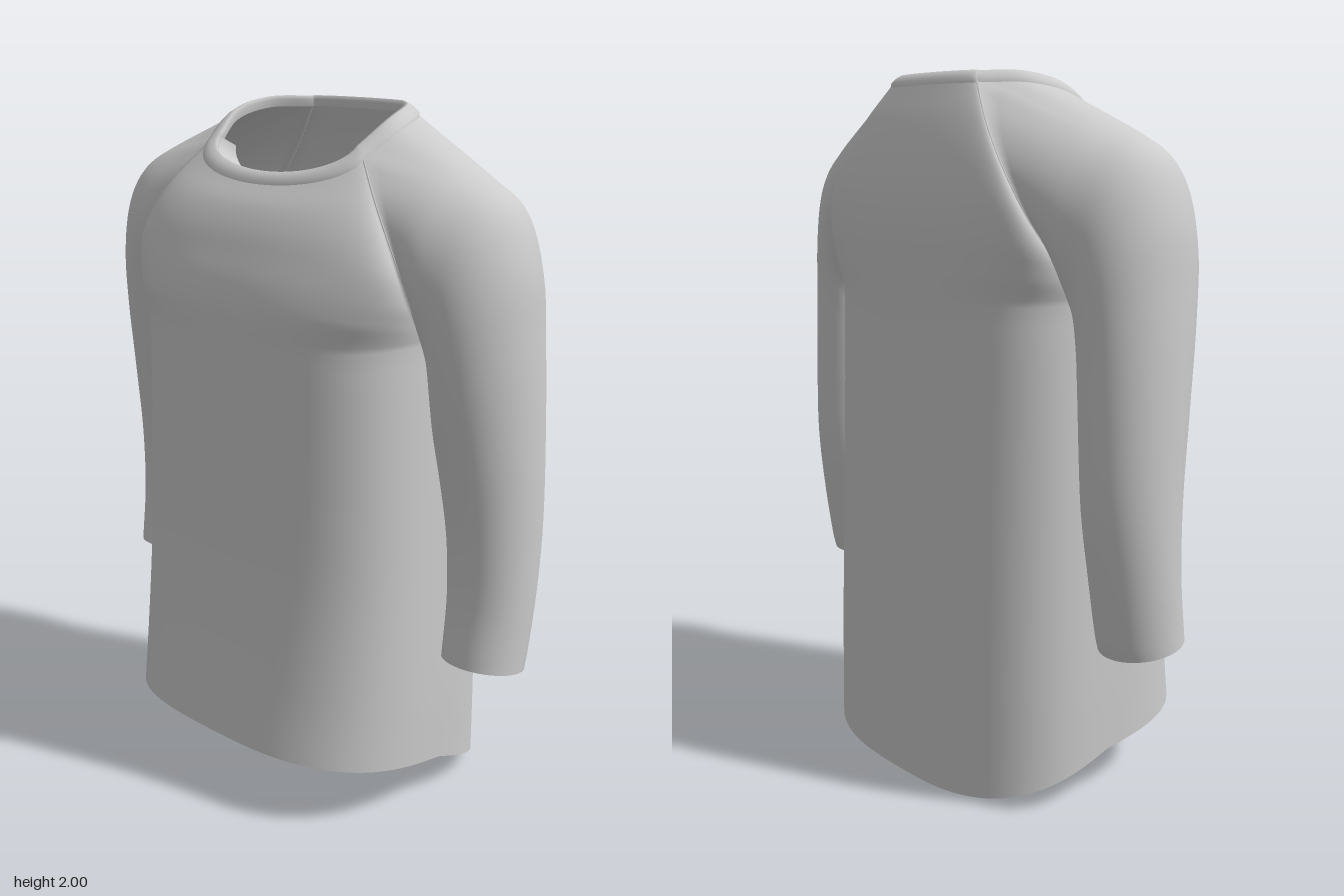
import * as THREE from 'three';

const V = (x, y, z) => new THREE.Vector3(x, y, z);
const curve = pts => new THREE.CatmullRomCurve3(pts.map(p => V(...p)));
const material = new THREE.MeshStandardMaterial({ color: 0xcccccc, side: THREE.DoubleSide });

const ROWS = 50, ARMPIT = 20, COLS = 48, ARC = 16;

// Side seam shared by both panels, hem to armpit
const sideSeam = curve([[.522, .14, -.04], [.522, .35, -.04], [.515, .7, -.04], [.505, 1.1, -.04], [.495, 1.4, -.04]]);

// Panels: raglan seam from armpit to neck, and centre line from hem to neck
const front = {
  seam: curve([[.495, 1.4, -.04], [.5, 1.45, .05], [.505, 1.51, .11], [.495, 1.59, .148], [.455, 1.68, .155], [.39, 1.775, .135], [.305, 1.87, .085]]),
  middle: curve([[0, .205, .4], [0, .4, .372], [0, .7, .342], [0, 1.1, .33], [0, 1.38, .33], [0, 1.47, .328], [0, 1.54, .313], [0, 1.61, .288], [0, 1.68, .26], [0, 1.74, .225], [0, 1.79, .18]]),
};
const back = {
  seam: curve([[.495, 1.4, -.04], [.495, 1.45, -.13], [.485, 1.53, -.22], [.445, 1.63, -.28], [.38, 1.74, -.3], [.29, 1.86, -.285], [.2, 1.968, -.245]]),
  middle: curve([[0, .005, -.4], [0, .3, -.394], [0, .7, -.383], [0, 1.1, -.372], [0, 1.38, -.372], [0, 1.47, -.375], [0, 1.57, -.377], [0, 1.67, -.368], [0, 1.77, -.345], [0, 1.87, -.31], [0, 1.97, -.265]]),
};
const shoulderNeck = curve([[.305, 1.87, .085], [.332, 1.935, -.02], [.3, 1.965, -.14], [.2, 1.968, -.245]]);

// Surface from a rule giving a point for each row and column
function grid(name, rows, cols, point, flip = false) {
  const pos = [], index = [];
  for (let i = 0; i <= rows; i++)
    for (let j = 0; j <= cols; j++) pos.push(...point(i, j).toArray());
  for (let i = 0; i < rows; i++)
    for (let j = 0; j < cols; j++) {
      const a = i * (cols + 1) + j, b = a + 1, c = a + cols + 1, d = c + 1;
      index.push(...(flip ? [a, c, b, b, c, d] : [a, b, c, b, d, c]));
    }
  const g = new THREE.BufferGeometry();
  g.setAttribute('position', new THREE.Float32BufferAttribute(pos, 3));
  g.setIndex(index);
  g.computeVertexNormals();
  const mesh = new THREE.Mesh(g, material);
  mesh.name = name;
  return mesh;
}

// Share normals where neighbouring pieces meet
function blendNormals(meshes) {
  const sums = new Map(), p = V(), n = V();
  const visit = fn => meshes.forEach(({ geometry: { attributes: a } }) => {
    for (let i = 0; i < a.position.count; i++) {
      p.fromBufferAttribute(a.position, i);
      fn(p.toArray().map(c => Math.round(c * 1e4) + 0).join(), a.normal, i);
    }
  });
  visit((key, normal, i) => {
    if (!sums.has(key)) sums.set(key, V());
    sums.get(key).add(n.fromBufferAttribute(normal, i));
  });
  visit((key, normal, i) => {
    n.copy(sums.get(key)).normalize();
    normal.setXYZ(i, n.x, n.y, n.z);
  });
}

// Point on a body panel: squarish at the hem, round at the neck
function panelPoint(panel, i, j) {
  const t = i / ROWS, a = (j / COLS - .5) * Math.PI;
  const edge = i <= ARMPIT ? sideSeam.getPoint(i / ARMPIT) : panel.seam.getPoint((i - ARMPIT) / (ROWS - ARMPIT));
  const mid = panel.middle.getPoint(t);
  const power = .7 + .3 * Math.max(0, (t - .5) / .5);
  const s = Math.sign(a) * Math.abs(Math.sin(a)) ** power;
  const c = Math.max(0, Math.cos(a)) ** power;
  return V(edge.x * s, edge.y + (mid.y - edge.y) * c, edge.z + (mid.z - edge.z) * c);
}

// Sleeve rings: inner x, y, outer x, y, front z, back z
const sleeveRings = [
  [.515, 1.36, .56, 1.845, .16, -.272],
  [.515, 1.28, .675, 1.78, .145, -.25],
  [.507, 1.2, .74, 1.63, .13, -.238],
  [.505, 1.12, .763, 1.42, .11, -.232],
  [.513, 1.0, .775, 1.16, .078, -.23],
  [.525, .85, .78, .9, .05, -.225],
  [.535, .68, .78, .69, .045, -.202],
  [.54, .53, .776, .53, .06, -.175],
  [.541, .495, .775, .495, .064, -.166],
];

// Strands running from the raglan seam and neck down to the cuff
function sleeveStrands() {
  const starts = [], n = ROWS - ARMPIT, neckAngle = .5;
  const add = (p, angle) => starts.push({ p, angle });
  const seamAngle = i => Math.PI + (neckAngle - Math.PI) * i / n;
  for (let i = 0; i <= n; i++) add(front.seam.getPoint(i / n), seamAngle(i));
  for (let i = 1; i < ARC; i++) add(shoulderNeck.getPoint(i / ARC), neckAngle * (1 - 2 * i / ARC));
  for (let i = n; i >= 0; i--) add(back.seam.getPoint(i / n), -seamAngle(i));
  return starts.map(({ p, angle }) => {
    const c = Math.cos(angle), s = Math.sin(angle);
    const pts = sleeveRings.map(([ax, ay, bx, by, zf, zb], k) => V(
      (ax + bx) / 2 + (bx - ax) / 2 * c,
      (ay + by) / 2 + (by - ay) / 2 * c + (k > 6 ? .02 * s : 0),
      (zf + zb) / 2 + (zf - zb) / 2 * s));
    return new THREE.CatmullRomCurve3([p, ...pts]);
  });
}

// Closed neckline, running along the front first
function neckline() {
  const pts = [];
  for (let j = 0; j < COLS; j++) pts.push(panelPoint(front, ROWS, j));
  for (let i = 0; i < ARC; i++) pts.push(shoulderNeck.getPoint(i / ARC));
  for (let j = COLS; j > 0; j--) pts.push(panelPoint(back, ROWS, j));
  for (let i = ARC; i >= 0; i--) pts.push(shoulderNeck.getPoint(i / ARC).multiply(V(-1, 1, 1)));
  return pts;
}

export function createModel() {
  const shirt = new THREE.Group();
  shirt.name = 'raglanShirt';

  // Body and sleeves
  const strands = sleeveStrands(), length = 48;
  const sleeve = (name, side) => grid(name, length, strands.length - 1,
    (i, j) => strands[j].getPoint(i / length).multiply(V(side, 1, 1)), side > 0);
  const cloth = [
    grid('frontPanel', ROWS, COLS, (i, j) => panelPoint(front, i, j)),
    grid('backPanel', ROWS, COLS, (i, j) => panelPoint(back, i, j), true),
    sleeve('leftSleeve', 1),
    sleeve('rightSleeve', -1),
  ];
  blendNormals(cloth);
  shirt.add(...cloth);

  // Raglan seams
  for (const side of [1, -1])
    for (const [name, panel] of [['Front', front], ['Back', back]]) {
      const path = new THREE.CatmullRomCurve3(panel.seam.points.map(p => p.clone().multiply(V(side, 1, 1))));
      const seam = new THREE.Mesh(new THREE.TubeGeometry(path, 40, .003, 5), material);
      seam.name = (side > 0 ? 'left' : 'right') + name + 'Seam';
      shirt.add(seam);
    }

  // Ribbed collar band, folded over its inner edge
  const neck = neckline();
  const inset = (p, scale, rise) => V(p.x * scale, p.y + rise, -.045 + (p.z + .045) * scale);
  const band = [[1.01, -.004], [1, .01], [.95, .023], [.9, .031], [.87, .031], [.86, .02], [.87, 0]];
  shirt.add(grid('collar', band.length - 1, neck.length - 1, (i, j) => inset(neck[j], ...band[i])));

  // Facing inside the front of the neck
  shirt.add(grid('neckFacing', 4, COLS, (i, j) => {
    const p = panelPoint(front, ROWS, j), w = Math.max(.05, (p.z + .03) / .21) * i / 4;
    return inset(p, .86 - .24 * w, .02 - .04 * w);
  }));

  return shirt;
}
